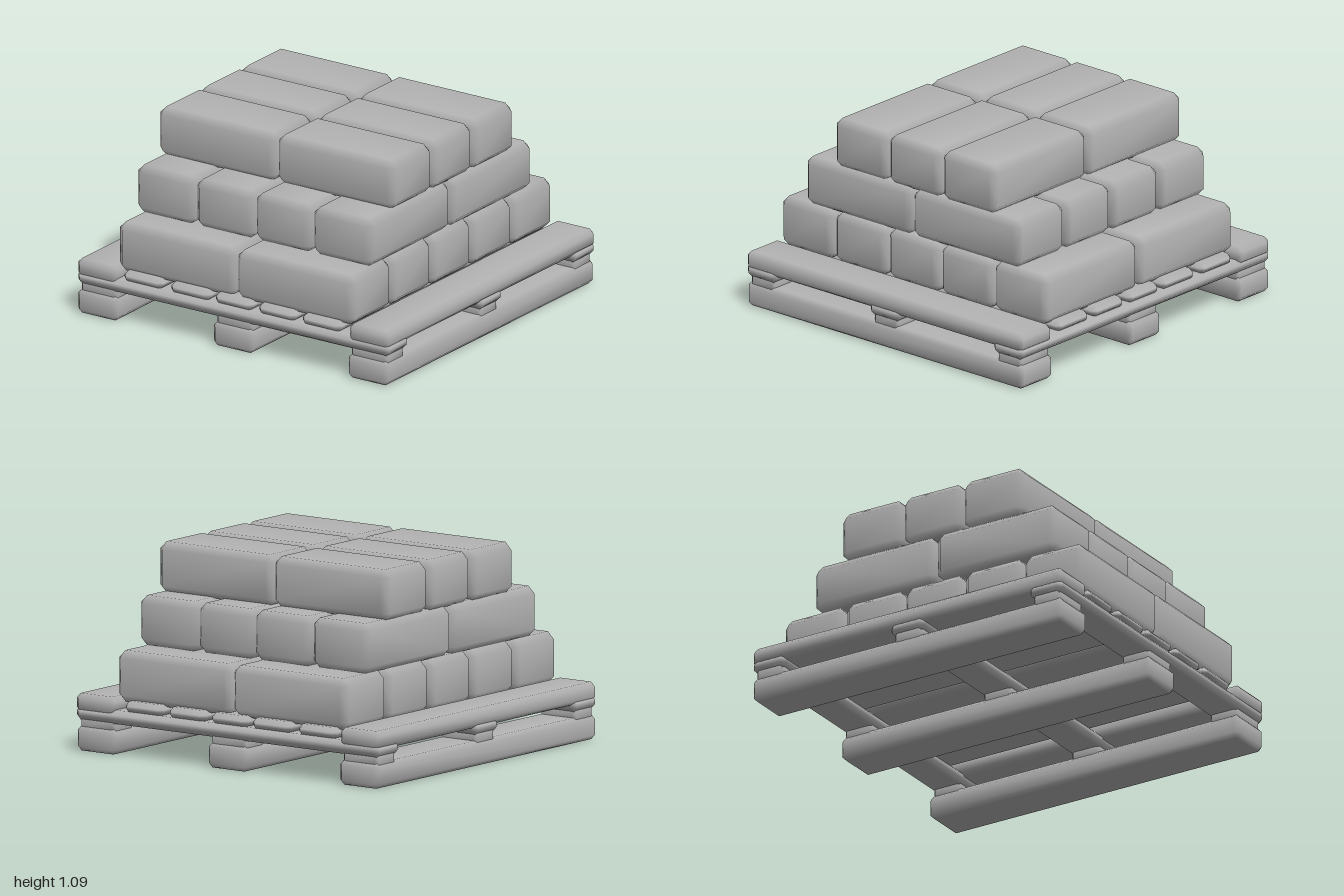
import * as THREE from 'three';
import { mergeVertices } from 'three/addons/utils/BufferGeometryUtils.js';
import { ConvexGeometry } from 'three/addons/geometries/ConvexGeometry.js';

const grey = new THREE.MeshStandardMaterial({ color: 0xb4b4b4 });
grey.name = 'plain grey';

// Box with 45 degree chamfers and smooth, area-weighted normals
function chamferBox(w, h, d, c) {
  const points = [];
  for (const x of [-1, 1]) for (const y of [-1, 1]) for (const z of [-1, 1]) {
    for (let axis = 0; axis < 3; axis++) {
      const inset = [c, c, c];
      inset[axis] = 0;
      points.push(new THREE.Vector3(
        x * (w / 2 - inset[0]), y * (h / 2 - inset[1]), z * (d / 2 - inset[2])));
    }
  }
  let geometry = new ConvexGeometry(points);
  geometry.deleteAttribute('normal');
  geometry = mergeVertices(geometry, 1e-4);
  geometry.computeVertexNormals();
  return geometry;
}

export function createModel() {
  const root = new THREE.Group();
  root.name = 'brickPallet';
  const pallet = new THREE.Group();
  pallet.name = 'pallet';
  const stack = new THREE.Group();
  stack.name = 'brickStack';
  root.add(pallet, stack);

  // Place a block by its [min, max] range on each axis
  function block(parent, name, [x0, x1], [y0, y1], [z0, z1], chamfer) {
    const mesh = new THREE.Mesh(chamferBox(x1 - x0, y1 - y0, z1 - z0, chamfer), grey);
    mesh.position.set((x0 + x1) / 2, (y0 + y1) / 2, (z0 + z1) / 2);
    mesh.name = name;
    parent.add(mesh);
  }

  const length = [-0.97, 0.97];

  // Runners on the ground
  const runners = [[-1, -0.74], [-0.13, 0.13], [0.735, 0.995]];
  for (const x of runners) block(pallet, 'runner', x, [0, 0.135], length, 0.025);

  // Cross beams, with spacers where they pass over the runners
  const beams = [[0.765, 0.97], [-0.105, 0.105], [-0.97, -0.765]];
  for (const z of beams) {
    block(pallet, 'crossBeam', [-1, 1], [0.165, 0.24], z, 0.025);
    for (const x of runners) {
      block(pallet, 'spacer', [x[0] + 0.015, x[1] - 0.015], [0.11, 0.19],
        [z[0] + 0.02, z[1] - 0.02], 0.015);
    }
  }

  // Deck: thick outer boards and thinner slats between them
  for (const x of [[-1, -0.745], [0.745, 1]]) {
    block(pallet, 'outerBoard', x, [0.205, 0.308], length, 0.025);
  }
  for (const x of [[-0.71, -0.46], [-0.41, -0.155], [-0.125, 0.115], [0.155, 0.395], [0.435, 0.685]]) {
    block(pallet, 'deckSlat', x, [0.23, 0.296], [-0.96, 0.96], 0.025);
  }

  // Brick courses, given as dividing lines along x and z
  const courses = [
    { y: [0.28, 0.557], x: [-0.76, 0, 0.76], z: [-0.93, -0.55, -0.175, 0.195, 0.57, 0.945] },
    { y: [0.555, 0.825], x: [-0.76, -0.38, 0, 0.37, 0.76], z: [-0.74, 0.02, 0.775] },
    { y: [0.815, 1.09], x: [-0.76, 0, 0.76], z: [-0.57, -0.185, 0.19, 0.57] },
  ];
  for (const { y, x, z } of courses) {
    for (let i = 0; i < x.length - 1; i++) for (let k = 0; k < z.length - 1; k++) {
      block(stack, 'brick', [x[i], x[i + 1]], y, [z[k], z[k + 1]], 0.04);
    }
  }
  return root;
}
